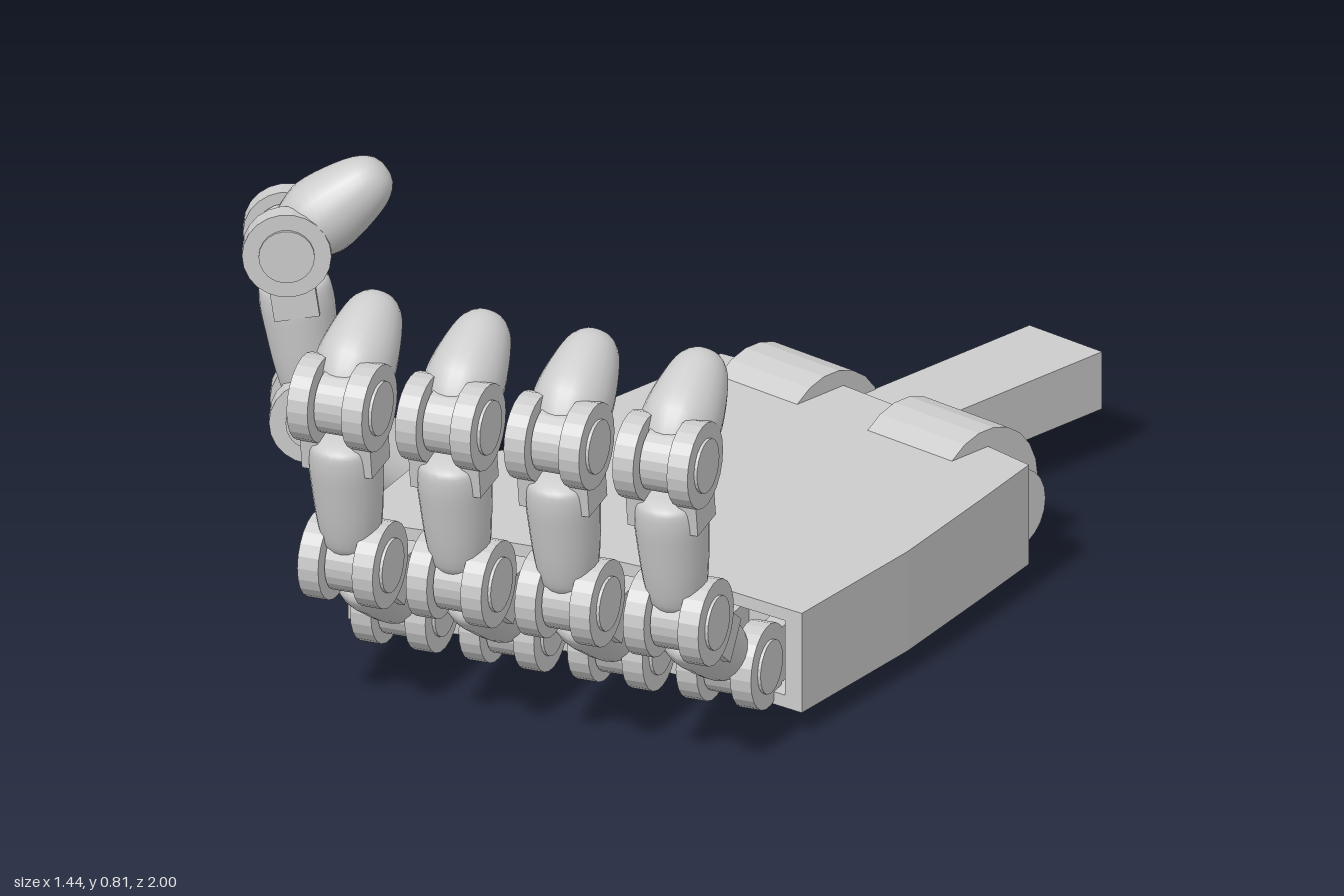
import * as THREE from 'three';

const smooth = new THREE.MeshStandardMaterial({ color: 0xcccccc, side: THREE.DoubleSide });
const flat = new THREE.MeshStandardMaterial({ color: 0xcccccc, flatShading: true });
const UP = new THREE.Vector3(0, 1, 0);

function add(parent, name, geometry, material = flat) {
  const mesh = new THREE.Mesh(geometry, material);
  mesh.name = name;
  parent.add(mesh);
  return mesh;
}

// cylinder lying along x
function disc(parent, name, radius, width, x, y, z) {
  const g = new THREE.CylinderGeometry(radius, radius, width, 22).rotateZ(Math.PI / 2);
  add(parent, name, g).position.set(x, y, z);
}

// flat slab from an outline of [x, z] points
function slab(parent, name, outline, bottom, top) {
  const shape = new THREE.Shape(outline.map(([x, z]) => new THREE.Vector2(x, z)));
  const g = new THREE.ExtrudeGeometry(shape, { depth: top - bottom, bevelEnabled: false });
  g.rotateX(Math.PI / 2).translate(0, top, 0);
  add(parent, name, g);
}

// group at a joint whose y axis points to another joint
function limb(parent, name, from, to) {
  const group = new THREE.Group();
  group.name = name;
  group.position.copy(from);
  group.quaternion.setFromUnitVectors(UP, to.clone().sub(from).normalize());
  parent.add(group);
  return group;
}

function lathe(parent, name, profile) {
  const pts = new THREE.SplineCurve(profile.map(([r, y]) => new THREE.Vector2(r, y))).getPoints(20);
  pts.forEach(p => { p.x = Math.max(p.x, 0); });
  return add(parent, name, new THREE.LatheGeometry(pts, 22), smooth);
}

// two cheeks, a tongue between them and a pin through all
function hinge(parent, p) {
  for (const s of [-1, 1]) disc(parent, 'hingeCheek', 0.083, 0.042, s * 0.055, p.y, p.z);
  disc(parent, 'hingeTongue', 0.062, 0.06, 0, p.y, p.z);
  disc(parent, 'hingePin', 0.052, 0.164, 0, p.y, p.z);
}

// rounded bone with a forked far end
function bone(parent, name, from, to) {
  const g = limb(parent, name, from, to);
  const len = from.distanceTo(to);
  lathe(g, 'boneBody', [[0, 0.02], [0.045, 0.03], [0.06, 0.08], [0.068, len * 0.5],
    [0.07, len - 0.11], [0.058, len - 0.075], [0, len - 0.065]]);
  for (const s of [-1, 1]) {
    add(g, 'forkArm', new THREE.BoxGeometry(0.036, 0.12, 0.085)).position.set(s * 0.053, len - 0.07, 0);
  }
}

function digit(name, x, z, yaw) {
  const g = new THREE.Group();
  g.name = name;
  g.position.set(x, 0, z);
  g.rotation.y = yaw;
  const a = new THREE.Vector3(0, 0.13, 0);
  const b = new THREE.Vector3(0, 0.313, 0.245);
  const c = new THREE.Vector3(0, 0.648, 0.295);
  const tip = new THREE.Vector3(0, 0.80, 0.105);
  [a, b, c].forEach(p => hinge(g, p));
  // mounts running back into the palm
  for (const s of [-1, 1]) {
    add(g, 'knuckleMount', new THREE.BoxGeometry(0.042, 0.11, 0.19)).position.set(s * 0.055, 0.13, -0.095);
  }
  bone(g, 'lowerBone', a, b);
  bone(g, 'middleBone', b, c);
  const end = limb(g, 'fingertip', c, tip);
  lathe(end, 'fingertipBody', [[0, -0.02], [0.045, 0], [0.07, 0.05], [0.076, 0.09],
    [0.067, 0.15], [0.052, 0.2], [0.03, 0.227], [0, 0.235]]);
  return g;
}

export function createModel() {
  const model = new THREE.Group();
  model.name = 'mechanicalHand';

  // palm: two plates around a core that is recessed behind the knuckles
  const sides = [[-0.27, 0.6], [-0.36, 0.32], [-0.26, 0.1], [-0.31, -0.08], [-0.31, -0.45],
    [-0.04, -0.495], [0.14, -0.49], [0.47, -0.455], [0.52, -0.27], [0.59, 0], [0.65, 0.35]];
  const front = [[0.45, 0.365], [0.32, 0.382], [0.2, 0.41], [0.03, 0.472]];
  const recess = [[0.61, 0.353], [0.595, 0.25], [0.33, 0.27], [0.18, 0.3], [0, 0.37], [-0.25, 0.47], [-0.22, 0.58]];
  const palm = new THREE.Group();
  palm.name = 'palm';
  model.add(palm);
  slab(palm, 'palmBottomPlate', [...sides, ...front], 0.045, 0.07);
  slab(palm, 'palmCore', [...sides, ...recess], 0.07, 0.22);
  slab(palm, 'palmTopPlate', [...sides, ...front], 0.22, 0.245);

  // wrist hinge and forearm bar
  disc(model, 'wristBarrel', 0.14, 0.2, -0.14, 0.14, -0.462);
  disc(model, 'wristBarrel', 0.14, 0.215, 0.247, 0.14, -0.462);
  disc(model, 'wristAxle', 0.08, 0.74, 0.06, 0.14, -0.462);
  add(model, 'forearmBar', new THREE.BoxGeometry(0.185, 0.115, 0.54)).position.set(0.05, 0.153, -0.73);

  // four fingers in a slanted row, and the thumb
  ['indexFinger', 'middleFinger', 'ringFinger', 'littleFinger'].forEach((name, i) => {
    model.add(digit(name, -0.107 + i * 0.209, 0.618 - i * 0.0717, 0.345));
  });
  model.add(digit('thumb', -0.392, 0.205, -0.83));
  return model;
}
